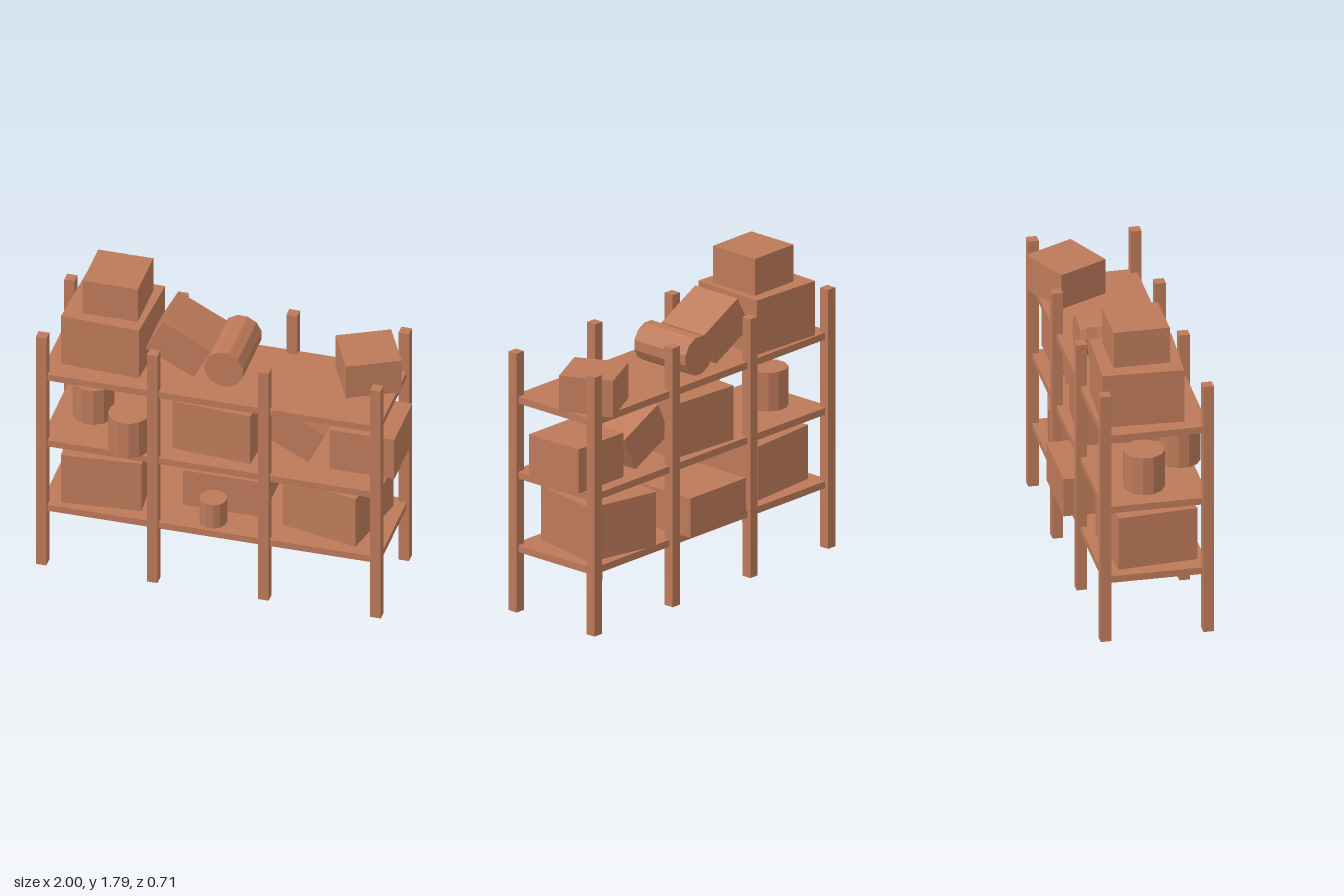
import * as THREE from 'three';

export function createModel() {
  const group = new THREE.Group();
  const mat = new THREE.MeshStandardMaterial({ color: 0xbd7a5a, flatShading: true });

  const add = (name, geo, [x, y, z], rotX = 0, rotY = 0, rotZ = 0) => {
    const mesh = new THREE.Mesh(geo, mat);
    mesh.name = name;
    mesh.position.set(x, y, z);
    mesh.rotation.set(rotX, rotY, rotZ);
    group.add(mesh);
    return mesh;
  };
  // Box given by its centre, size, and turn about y or tilt about z
  const box = (name, pos, size, turn = 0, tilt = 0) =>
    add(name, new THREE.BoxGeometry(...size), pos, 0, turn, tilt);
  // Twelve-sided drum with a flat facing front
  const drum = (name, pos, r, length, rotX = 0) =>
    add(name, new THREE.CylinderGeometry(r, r, length, 12, 1, false, Math.PI / 12), pos, rotX);

  // Rack: four pairs of posts and three shelves
  const POST_H = 1.515;
  for (const x of [-0.97, -0.335, 0.3, 0.94]) {
    for (const z of [-0.283, 0.295]) box('post', [x, POST_H / 2, z], [0.06, POST_H, 0.06]);
  }
  for (const top of [0.39, 0.82, 1.26]) {
    box('shelf', [-0.012, top - 0.02, 0.006], [1.936, 0.04, 0.592]);
  }

  // Bottom shelf
  box('bottomLeftCrate', [-0.667, 0.548, 0.015], [0.452, 0.316, 0.452], 0.078);
  box('bottomBackCrate', [0.005, 0.505, -0.128], [0.452, 0.23, 0.455]);
  box('bottomRightCrate', [0.628, 0.548, -0.032], [0.452, 0.316, 0.452], -0.21);
  drum('smallCan', [-0.02, 0.467, 0.205], 0.077, 0.155);

  // Middle shelf
  drum('backDrum', [-0.767, 0.933, -0.02], 0.115, 0.226);
  drum('frontDrum', [-0.492, 0.935, 0.24], 0.115, 0.23);
  box('middleCrate', [-0.015, 0.978, -0.02], [0.452, 0.316, 0.452], -0.067);
  box('middleLeaningBox', [0.41, 0.99, -0.035], [0.31, 0.215, 0.315], 0, -0.46);
  box('middleRightCrate', [0.813, 0.95, -0.035], [0.37, 0.26, 0.366]);

  // Top shelf
  box('topCrate', [-0.66, 1.419, -0.037], [0.452, 0.318, 0.456], -0.05);
  box('stackedBox', [-0.632, 1.686, -0.037], [0.315, 0.216, 0.315]);
  box('topLeaningBox', [-0.243, 1.434, -0.037], [0.31, 0.215, 0.315], 0, -0.48);
  drum('lyingDrum', [0.025, 1.37, -0.04], 0.113, 0.38, Math.PI / 2);
  box('topRightBox', [0.774, 1.362, -0.129], [0.312, 0.215, 0.31], 0.46);

  return group;
}
